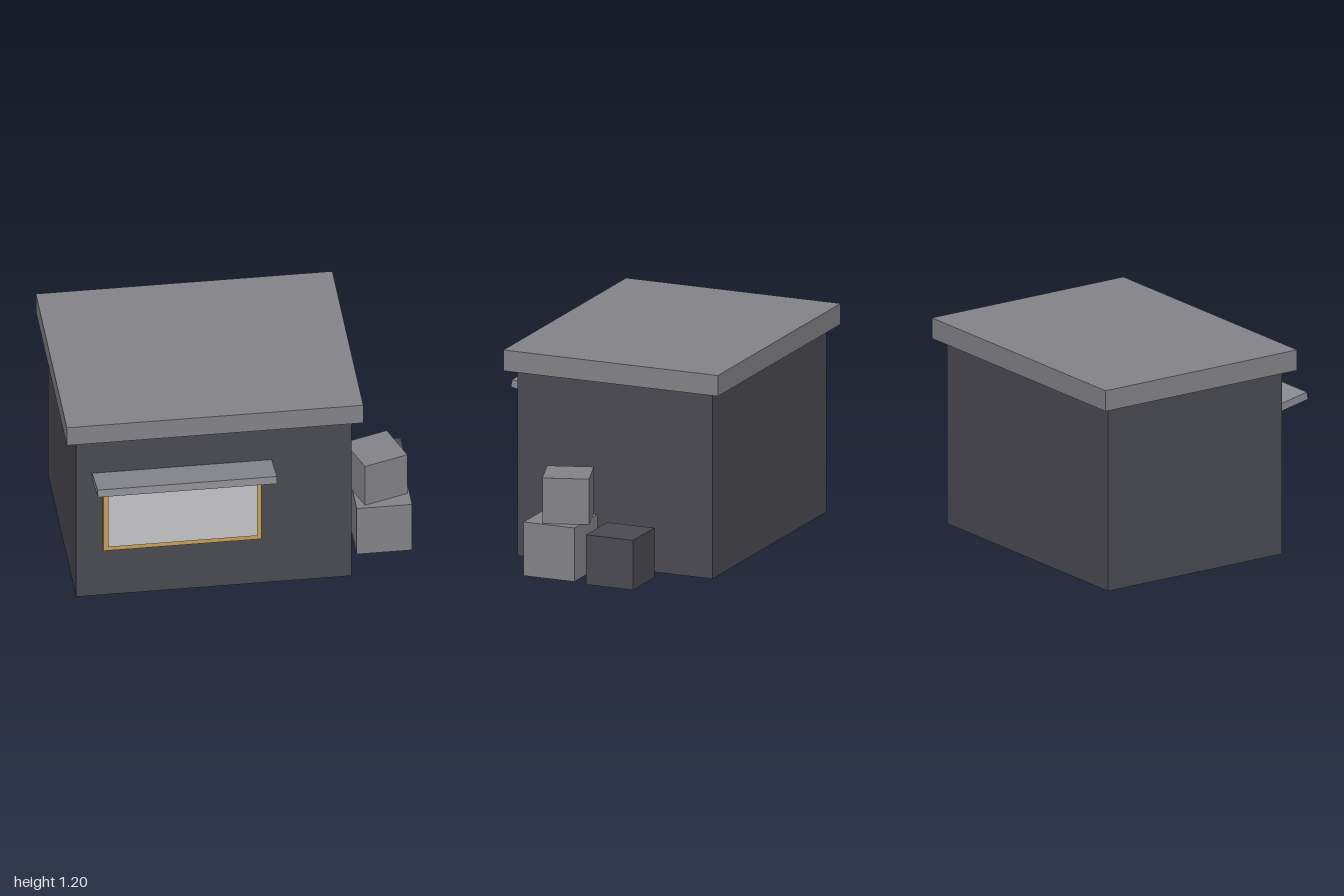
import * as THREE from 'three';

const material = (name, color) => {
  const m = new THREE.MeshStandardMaterial({ color });
  m.name = name;
  return m;
};

// Box given by its [min, max] range on each axis
function block(name, mat, [x0, x1], [y0, y1], [z0, z1]) {
  const mesh = new THREE.Mesh(new THREE.BoxGeometry(x1 - x0, y1 - y0, z1 - z0), mat);
  mesh.position.set((x0 + x1) / 2, (y0 + y1) / 2, (z0 + z1) / 2);
  mesh.name = name;
  return mesh;
}

export function createModel() {
  const wall = material('dark wall grey', 0x4a4a52);
  const grey = material('mid grey', 0x848488);
  const awningGrey = material('awning grey', 0x8a8a92);
  const wood = material('ochre wood', 0xc8a055);
  const pane = material('pale shutter grey', 0xc5c5c8);

  const group = new THREE.Group();
  group.name = 'kiosk';

  // Building and its overhanging flat roof
  group.add(
    block('walls', wall, [-0.94, 0.605], [0, 1.075], [-0.685, 0.505]),
    block('roof', grey, [-1, 0.664], [1.075, 1.195], [-0.745, 0.564]),
  );

  // Serving window
  group.add(
    block('windowFrame', wood, [-0.79, 0.098], [0.315, 0.778], [0.49, 0.53]),
    block('windowPane', pane, [-0.765, 0.072], [0.35, 0.751], [0.51, 0.546]),
  );

  // Awning tilted up towards the front, its rear edge set into the wall
  const awning = block('awning', awningGrey, [-0.85, 0.157], [0.809, 0.853], [0.483, 0.745]);
  awning.rotation.x = -0.2;
  group.add(awning);

  // Crates beside the right-hand wall, one stacked askew
  const topCrate = block('topCrate', grey, [0.664, 0.926], [0.31, 0.573], [-0.021, 0.241]);
  topCrate.rotation.y = 0.32;
  group.add(
    block('lowerCrate', grey, [0.662, 0.973], [0, 0.31], [-0.008, 0.302]),
    topCrate,
    block('rearCrate', wall, [0.712, 1], [0, 0.287], [-0.379, -0.092]),
  );

  return group;
}
